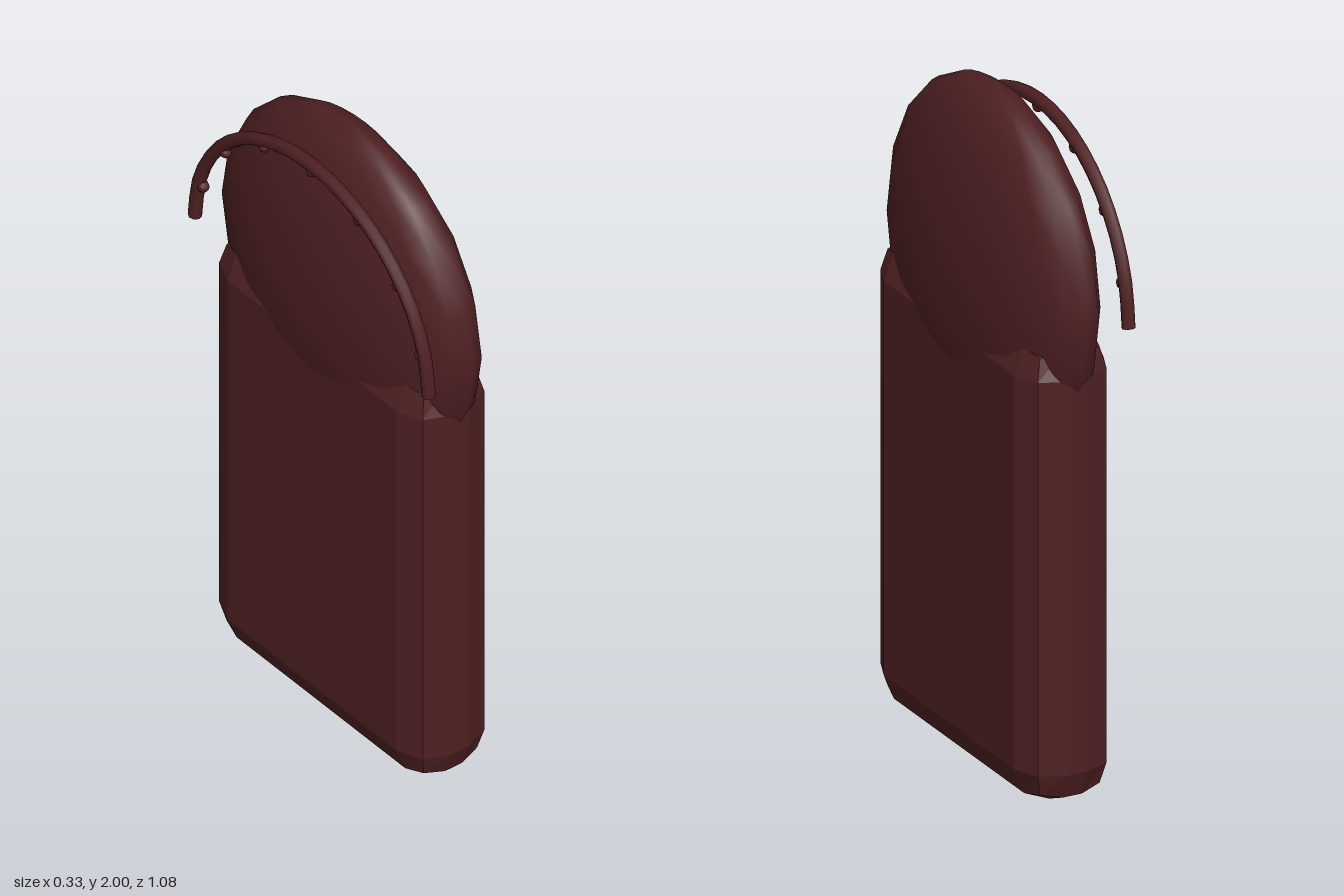
import * as THREE from 'three';
import { RoundedBoxGeometry } from 'three/addons/geometries/RoundedBoxGeometry.js';

export function createModel() {
  const model = new THREE.Group();
  const maroon = new THREE.MeshStandardMaterial({ color: 0x4f2022 });
  maroon.name = 'maroon';

  const add = (name, geometry, parent = model) => {
    const mesh = new THREE.Mesh(geometry, maroon);
    mesh.name = name;
    parent.add(mesh);
    return mesh;
  };

  // Slab body with chamfered, faceted edges
  const slab = new RoundedBoxGeometry(0.28, 1.4, 0.97, 1, 0.11);
  slab.computeVertexNormals();
  add('body', slab).position.y = 0.7;

  // Smooth flattened dome sunk into the top of the body
  const dome = add('dome', new THREE.SphereGeometry(1, 20, 10));
  dome.scale.set(0.165, 0.53, 0.54);
  dome.position.y = 1.47;

  // Arched rail beside the dome, on the model's right
  const rail = new THREE.Group();
  rail.name = 'archRail';
  rail.position.set(-0.14, 1.43, 0);
  model.add(rail);

  const archPoint = (degrees, inset = 0) => {
    const a = THREE.MathUtils.degToRad(degrees);
    return new THREE.Vector3(0, (0.49 - inset) * Math.sin(a), (0.52 - inset) * Math.cos(a));
  };
  const points = [];
  for (let d = 0; d <= 180; d += 15) points.push(archPoint(d));
  add('arch', new THREE.TubeGeometry(new THREE.CatmullRomCurve3(points), 24, 0.02, 8), rail);

  // Closed ends of the arch, facing down
  for (const d of [0, 180]) {
    const cap = add('archEnd', new THREE.CircleGeometry(0.02, 8), rail);
    cap.rotation.x = Math.PI / 2;
    cap.position.copy(archPoint(d));
  }

  // Small studs along the inner side of the arch
  const stud = new THREE.SphereGeometry(0.018, 8, 6);
  for (let d = 15; d <= 165; d += 25) add('stud', stud, rail).position.copy(archPoint(d, 0.02));

  return model;
}
